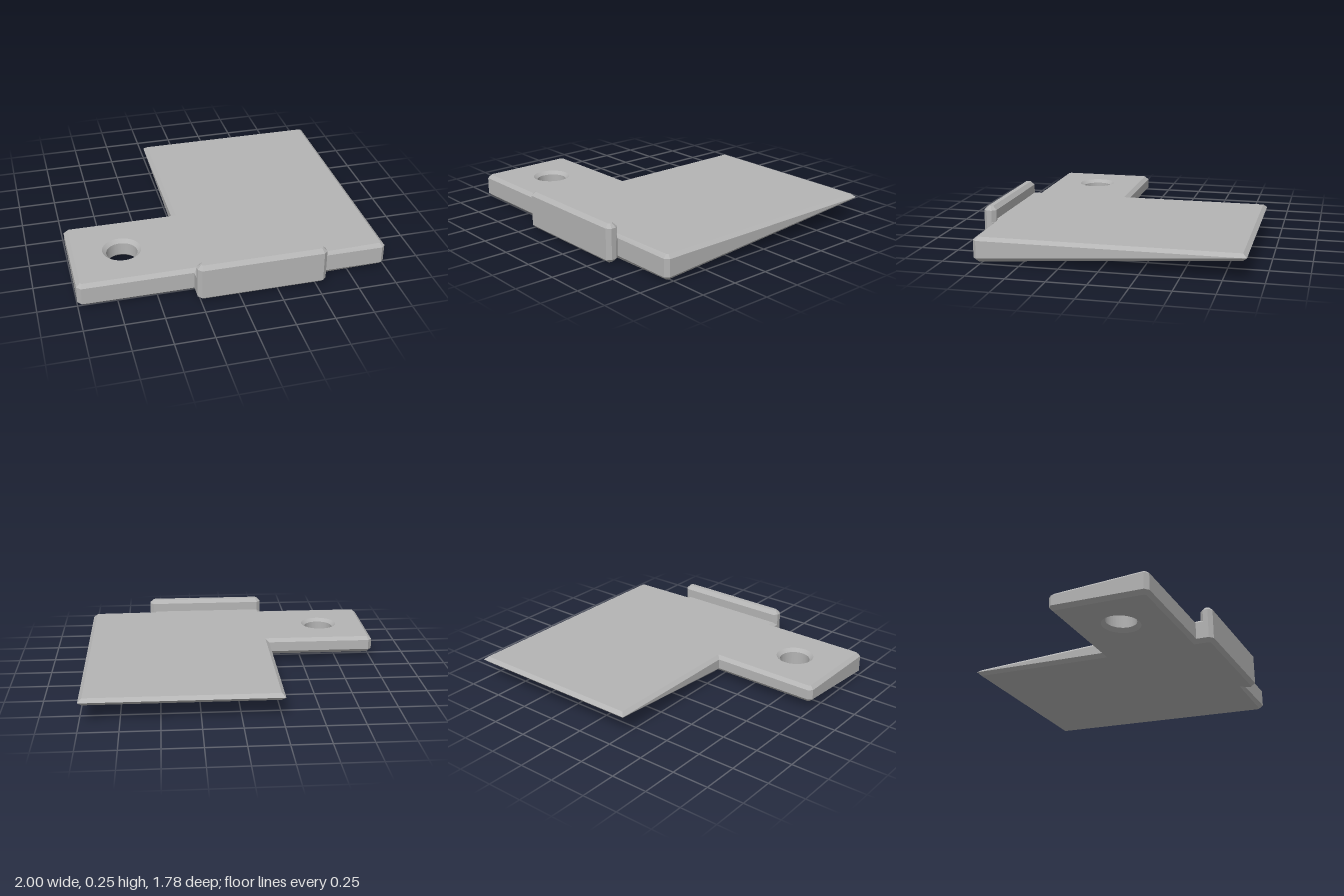
import * as THREE from 'three';
import { toCreasedNormals } from 'three/addons/utils/BufferGeometryUtils.js';

const BEVEL = 0.025;
const TOP = 0.17;

// underside slopes up from the front to the thin back edge
const underside = (z) => 0.004 + (0.865 - z) * 0.0695;

// bevelled slab from an (x, z) outline; levels(z) gives the four heights, bottom to top
function slab(outline, levels, hole) {
  const shape = new THREE.Shape(outline.map(([x, z]) => new THREE.Vector2(x, -z)));
  if (hole) {
    const path = new THREE.Path();
    path.absarc(hole.x, -hole.z, hole.r, 0, Math.PI * 2, true);
    shape.holes.push(path);
  }
  const geo = new THREE.ExtrudeGeometry(shape, {
    depth: 1, bevelEnabled: true, bevelSegments: 1, curveSegments: 40,
    bevelThickness: BEVEL, bevelSize: BEVEL, bevelOffset: -BEVEL,
  });
  geo.rotateX(-Math.PI / 2);
  const p = geo.attributes.position;
  for (let i = 0; i < p.count; i++) {
    const y = p.getY(i);
    const level = y < -0.01 ? 0 : y < 0.5 ? 1 : y < 1.01 ? 2 : 3;
    p.setY(i, levels(p.getZ(i))[level]);
  }
  return toCreasedNormals(geo, 0.4);
}

export function createModel() {
  const grey = new THREE.MeshStandardMaterial({ color: 0xb4b4b4 });
  grey.name = 'grey';
  const group = new THREE.Group();
  const add = (name, geo) => {
    const mesh = new THREE.Mesh(geo, grey);
    mesh.name = name;
    group.add(mesh);
  };
  const b = BEVEL;

  // L-shaped wedge plate with a side ear, a hole and the root of the front lip
  const plate = [
    [-1, 0.11 + b], [-1, 0.78 - b], [-1 + b, 0.78], [-0.267, 0.78],
    [-0.267, 0.89 - b], [-0.267 + b, 0.89], [0.572 - b, 0.89], [0.572, 0.89 - b],
    [0.572, 0.83], [0.547, 0.802], [1 - b, 0.802], [1, 0.802 - b],
    [1, -0.89], [-0.267, -0.89], [-0.267, 0.11], [-1 + b, 0.11],
  ];
  add('wedgePlate', slab(plate, (z) => {
    const low = underside(z);
    return [low, Math.min(low + b, 0.148), Math.max(TOP - b, 0.148), TOP];
  }, { x: -0.665, z: 0.445, r: 0.1 }));

  // raised lip along the front edge
  const lip = [
    [-0.267, 0.807 + b], [-0.267, 0.89 - b], [-0.267 + b, 0.89], [0.572 - b, 0.89],
    [0.572, 0.89 - b], [0.572, 0.807 + b], [0.572 - b, 0.807], [-0.267 + b, 0.807],
  ];
  add('frontLip', slab(lip, () => [0.06, 0.06, 0.255 - b, 0.255]));
  return group;
}
